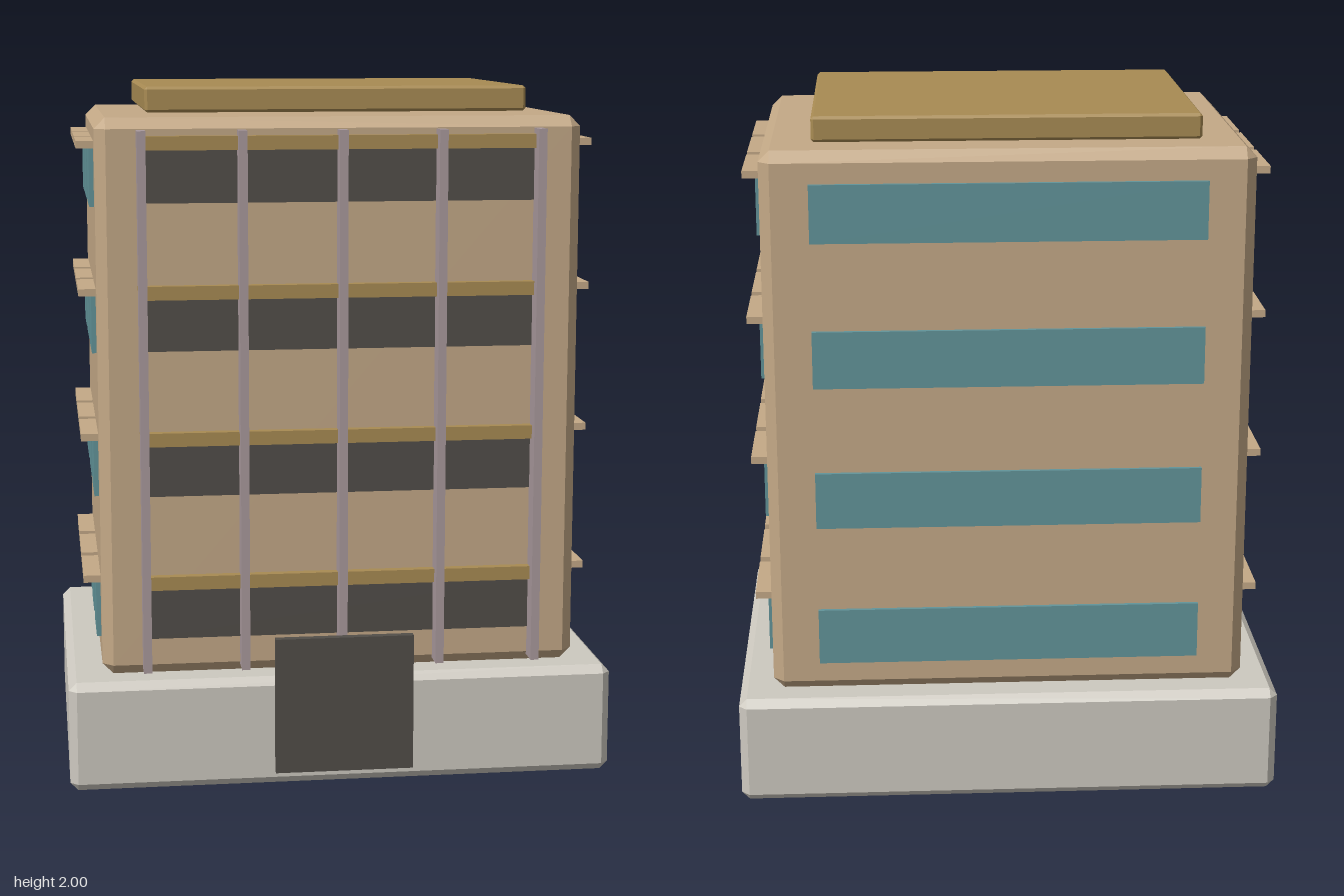
import * as THREE from 'three';
import { ConvexGeometry } from 'three/addons/geometries/ConvexGeometry.js';

const material = (name, color) => {
  const m = new THREE.MeshStandardMaterial({ color });
  m.name = name;
  return m;
};

// Box with all edges cut at 45 degrees
function chamferBox(w, h, d, c) {
  const points = [];
  for (const sx of [-1, 1]) for (const sy of [-1, 1]) for (const sz of [-1, 1]) {
    const x = w / 2, y = h / 2, z = d / 2;
    points.push(new THREE.Vector3(sx * x, sy * (y - c), sz * (z - c)));
    points.push(new THREE.Vector3(sx * (x - c), sy * y, sz * (z - c)));
    points.push(new THREE.Vector3(sx * (x - c), sy * (y - c), sz * z));
  }
  return new ConvexGeometry(points);
}

export function createModel() {
  const wall = material('tan wall', 0xc4a987);
  const stone = material('pale stone', 0xcdc9c0);
  const gold = material('ochre', 0xa88b53);
  const dark = material('dark panel', 0x524e49);
  const glass = material('teal glass', 0x62949a);
  const metal = material('mauve metal', 0xaa9a9d);

  const model = new THREE.Group();
  model.name = 'officeBuilding';
  const zc = -0.0125;      // centre of the main blocks
  const front = 0.493, back = -0.518, side = 0.69;

  // Adds a box from its min and max corners, with an optional chamfer
  function block(name, mat, [x0, x1], [y0, y1], [z0, z1], chamfer = 0) {
    const size = [x1 - x0, y1 - y0, z1 - z0];
    const geo = chamfer ? chamferBox(...size, chamfer) : new THREE.BoxGeometry(...size);
    const mesh = new THREE.Mesh(geo, mat);
    mesh.name = name;
    mesh.position.set((x0 + x1) / 2, (y0 + y1) / 2, (z0 + z1) / 2);
    model.add(mesh);
  }

  // Main masses
  block('base', stone, [-0.79, 0.79], [0, 0.32], [zc - 0.575, zc + 0.575], 0.023);
  block('tower', wall, [-side, side], [0.322, 1.918], [back, front], 0.031);
  block('roofSlab', gold, [-0.545, 0.545], [1.928, 2], [zc - 0.415, zc + 0.415], 0.008);
  block('door', dark, [-0.2, 0.2], [0.042, 0.44], [0.562, 0.587]);

  // Vertical fins on the front
  for (let i = -2; i <= 2; i++) {
    const x = i * 0.2815;
    block('fin', metal, [x - 0.012, x + 0.012], [0.344, 1.884], [front - 0.01, 0.554]);
  }

  for (let floor = 0; floor < 4; floor++) {
    const y = 0.578 + floor * 0.417; // window head

    // Front and back strips
    block('frontWindowBand', dark, [-0.57, 0.57], [y - 0.148, y], [front - 0.004, front + 0.004]);
    block('frontLedge', gold, [-0.575, 0.575], [y, y + 0.039], [front - 0.01, 0.521]);
    block('backWindowBand', glass, [-0.553, 0.553], [y - 0.165, y], [back - 0.012, back + 0.01]);

    // Side windows with small canopies
    for (const s of [-1, 1]) {
      const span = (a, b) => (s > 0 ? [a, b] : [-b, -a]);
      for (let i = -1; i <= 1; i++) {
        const z = zc + i * 0.289;
        block('sideWindow', glass, span(side - 0.01, side + 0.013), [y - 0.165, y], [z - 0.109, z + 0.109]);
        block('canopy', wall, span(side - 0.01, 0.739), [y, y + 0.021], [z - 0.125, z + 0.125]);
      }
    }
  }
  return model;
}
